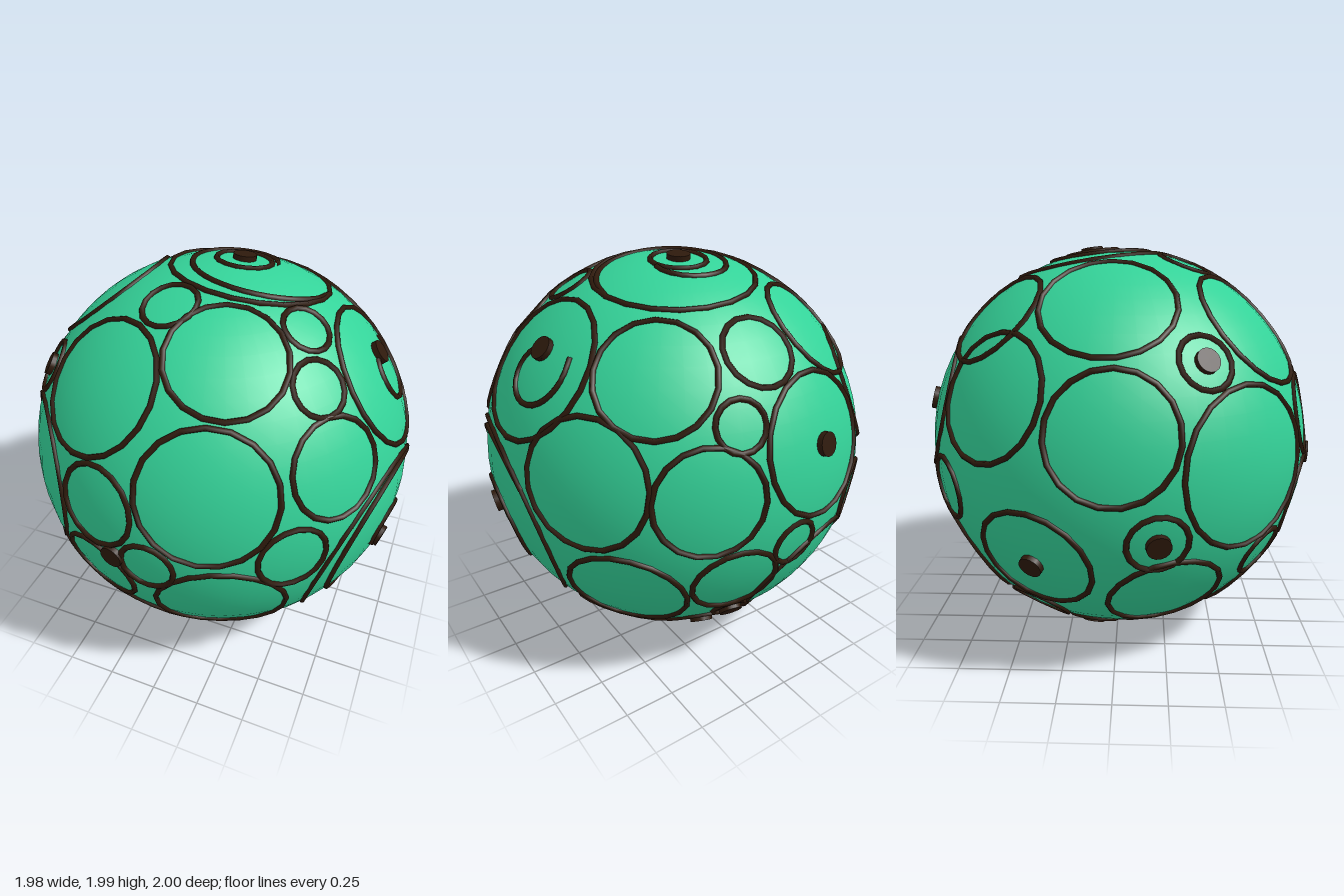
import * as THREE from 'three';

const R = 0.983;      // ball radius
const LINE = 0.014;   // half thickness of the raised lines
const Y = new THREE.Vector3(0, 1, 0);
const Z = new THREE.Vector3(0, 0, 1);

// Outward direction from longitude (0 is the front, 90 the +x side) and latitude
function direction(lon, lat) {
  return new THREE.Vector3().setFromSphericalCoords(
    1, THREE.MathUtils.degToRad(90 - lat), THREE.MathUtils.degToRad(lon));
}

export function createModel() {
  const green = new THREE.MeshStandardMaterial({ color: 0x34d399 });
  green.name = 'emerald green';
  const brown = new THREE.MeshStandardMaterial({ color: 0x2e1a0c });
  brown.name = 'dark brown';

  const model = new THREE.Group();
  model.name = 'ornamentBall';
  const ball = new THREE.Group();
  ball.name = 'ball';
  ball.position.y = 1;
  model.add(ball);

  const add = (geometry, material, name) => {
    const mesh = new THREE.Mesh(geometry, material);
    mesh.name = name;
    ball.add(mesh);
    return mesh;
  };

  // Circle lying on the ball; wider circles have more sides
  const ring = (lon, lat, r) => {
    const n = direction(lon, lat);
    const mesh = add(new THREE.TorusGeometry(r, LINE, 6, Math.round(14 + r * 16)), brown, 'ring');
    mesh.quaternion.setFromUnitVectors(Z, n);
    mesh.position.copy(n).multiplyScalar(Math.sqrt(R * R - r * r));
  };

  // Round stud standing on the ball
  const stud = (lon, lat) => {
    const n = direction(lon, lat);
    const mesh = add(new THREE.CylinderGeometry(0.057, 0.057, 0.045, 16), brown, 'stud');
    mesh.quaternion.setFromUnitVectors(Y, n);
    mesh.position.copy(n).multiplyScalar(R);
  };

  // Spiral on the ball: its radius shrinks from r0 to r1 while its centre drifts by (dx, dy)
  const spiral = (lon, lat, { r0, r1, start, turns, power, dx, dy }) => {
    const steps = Math.round(Math.abs(turns) * 16);
    const points = Array.from({ length: steps + 1 }, (_, i) => {
      const t = i / steps;
      const angle = (start + turns * t) * Math.PI * 2;
      const r = r1 + (r0 - r1) * (1 - t) ** power;
      const x = dx * t + r * Math.cos(angle);
      const y = dy * t + r * Math.sin(angle);
      return new THREE.Vector3(x, y, Math.sqrt(R * R - x * x - y * y));
    });
    const path = new THREE.CatmullRomCurve3(points);
    const mesh = add(new THREE.TubeGeometry(path, steps * 2, LINE, 6), brown, 'spiral');
    mesh.quaternion.setFromUnitVectors(Z, direction(lon, lat));
  };

  // Ball
  add(new THREE.SphereGeometry(R, 48, 32), green, 'ballBody');

  // Plain rings: longitude, latitude, radius
  [
    // front
    [-28, 41, 0.32], [23, 56, 0.27], [17, 20, 0.315], [-15, 11, 0.2], [1, -3, 0.13],
    [-17, -14, 0.205], [21, -20, 0.31], [40, 1, 0.165], [-50, 2, 0.37], [-37, -27, 0.135],
    [-15, -44, 0.29],
    // +x side
    [55, 23, 0.23], [57, 44, 0.13], [68, 59, 0.115], [123, 8, 0.3], [132, -28, 0.285],
    [115, -60, 0.265], [69, -55, 0.11],
    // back
    [156, 5, 0.25], [141, 37, 0.265], [165, -22, 0.205], [-178, -12, 0.115], [-163, -32, 0.33],
    [-128, 21, 0.3], [-145, 44, 0.265], [177, 42, 0.17], [165, 24, 0.115], [-147, -8, 0.155],
    // -x side
    [-93, 51, 0.31], [-90, 13, 0.29], [-72, -37, 0.27],
    // top and underside
    [-20, 69, 0.13], [-22, -80, 0.33], [-150, -67, 0.19], [-126, -49, 0.15],
  ].forEach((place) => ring(...place));

  // Rings with a stud in the middle
  [
    [-62, 31, 0.13], [37, -54, 0.215], [161, -53, 0.17], [168, -39, 0.085], [-168, 14, 0.33],
    [-114, -24, 0.28], [-78, -15, 0.14], [-108, -67, 0.12], [158, 81, 0.135],
  ].forEach(([lon, lat, r]) => {
    ring(lon, lat, r);
    stud(lon, lat);
  });

  // Large ring and spiral, low on the +x side
  ring(78.6, -16.6, 0.485);
  spiral(78.6, -16.6, { r0: 0.485, r1: 0, start: 0.06, turns: 1.55, power: 0.8, dx: -0.02, dy: 0.06 });
  stud(77, -13.3);

  // Hooked spiral, high on the +x side
  ring(94.5, 34.8, 0.35);
  spiral(94.5, 34.8, { r0: 0.24, r1: 0, start: 0.17, turns: -0.7, power: 0.4, dx: 0.04, dy: 0.08 });
  stud(97.5, 39.4);

  // Top spiral, running into the small ring round the top stud
  ring(149, 79, 0.39);
  spiral(149, 79, { r0: 0.39, r1: 0.135, start: 0, turns: -1, power: 1, dx: -0.03, dy: 0 });

  // Lone stud on the front
  stud(-9, -2.6);

  return model;
}
